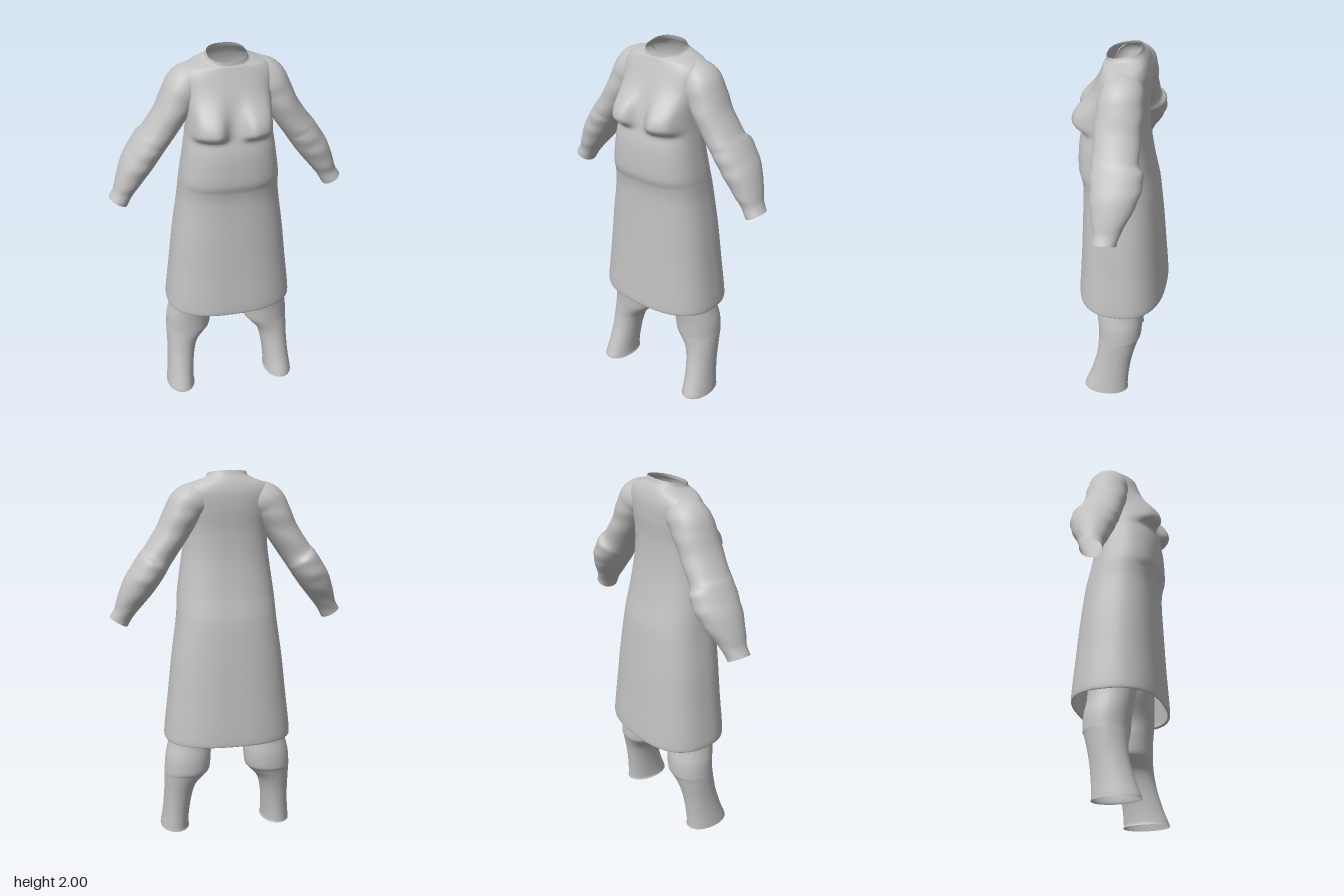
import * as THREE from 'three';

// Smoothly resample a short table of section rows
function resample(rows, steps) {
  const out = [], n = rows.length;
  for (let i = 0; i < n - 1; i++) {
    const p = [rows[Math.max(i - 1, 0)], rows[i], rows[i + 1], rows[Math.min(i + 2, n - 1)]];
    for (let k = 0; k < steps; k++) {
      const t = k / steps;
      out.push(p[1].map((b, c) => {
        const a = p[0][c], d = p[2][c], e = p[3][c];
        return b + 0.5 * t * (d - a + t * (2 * a - 5 * b + 4 * d - e + t * (3 * (b - d) + e - a)));
      }));
    }
  }
  out.push(rows[n - 1]);
  return out;
}

// Open tube of closed rings, rows running upward; point(i, cos, sin) gives a vertex
function loft(count, segs, power, flip, point) {
  const pos = [], idx = [];
  const bend = v => Math.sign(v) * Math.abs(v) ** (2 / power);
  for (let i = 0; i < count; i++) {
    for (let j = 0; j < segs; j++) {
      const a = (j / segs) * Math.PI * 2;
      pos.push(...point(i, bend(Math.cos(a)), bend(Math.sin(a))));
    }
  }
  for (let i = 0; i < count - 1; i++) {
    for (let j = 0; j < segs; j++) {
      const a = i * segs + j, b = i * segs + (j + 1) % segs, c = a + segs, d = b + segs;
      if (flip) idx.push(a, b, c, b, d, c);
      else idx.push(a, c, b, b, c, d);
    }
  }
  const g = new THREE.BufferGeometry();
  g.setAttribute('position', new THREE.Float32BufferAttribute(pos, 3));
  g.setIndex(idx);
  g.computeVertexNormals();
  return g;
}

// Bust relief: rounded above, tighter fold beneath
function bust(x, y) {
  const dx = (Math.abs(x) - 0.135) / 0.085;
  const dy = (y - 1.655) / (y > 1.655 ? 0.1 : 0.058);
  return 0.07 * Math.exp(-(dx ** 4) * 0.8 - (dy > 0 ? dy * dy : dy ** 4));
}

// y, half width, front z, back z, neckline slant
const DRESS = [
  [0.56, 0.333, 0.222, -0.235, 0], [0.575, 0.347, 0.235, -0.247, 0], [0.8, 0.322, 0.222, -0.23, 0],
  [1.0, 0.3, 0.213, -0.213, 0], [1.2, 0.272, 0.206, -0.192, 0], [1.29, 0.264, 0.212, -0.175, 0],
  [1.36, 0.258, 0.228, -0.16, 0], [1.5, 0.238, 0.222, -0.138, 0], [1.6, 0.224, 0.2, -0.13, 0],
  [1.7, 0.218, 0.175, -0.13, 0], [1.8, 0.225, 0.143, -0.138, 0], [1.88, 0.235, 0.112, -0.138, 0],
  [1.925, 0.205, 0.095, -0.128, 0.02], [1.947, 0.15, 0.09, -0.115, 0.1], [1.96, 0.112, 0.085, -0.102, 0.2],
  [1.98, 0.1, 0.083, -0.094, 0.22],
];

// x, y, z, in-plane radius, depth radius, from wrist to shoulder
const SLEEVE = [
  [0.582, 1.217, -0.005, 0.053, 0.06], [0.555, 1.265, -0.012, 0.053, 0.066],
  [0.525, 1.325, -0.02, 0.066, 0.088], [0.48, 1.405, -0.032, 0.081, 0.115],
  [0.44, 1.465, -0.037, 0.084, 0.127], [0.4, 1.525, -0.036, 0.084, 0.13],
  [0.37, 1.565, -0.024, 0.081, 0.116], [0.3, 1.67, -0.02, 0.083, 0.116],
  [0.25, 1.76, -0.022, 0.092, 0.115], [0.205, 1.825, -0.025, 0.1, 0.11],
  [0.14, 1.855, -0.028, 0.09, 0.095],
];

// y, inner x, outer x, front z, back z
const LEG = [
  [0, 0.213, 0.372, 0.175, -0.075], [0.02, 0.217, 0.37, 0.17, -0.073], [0.1, 0.213, 0.361, 0.14, -0.077],
  [0.2, 0.2, 0.355, 0.112, -0.09], [0.28, 0.175, 0.354, 0.1, -0.108], [0.34, 0.125, 0.354, 0.099, -0.127],
  [0.37, 0.104, 0.353, 0.1, -0.138], [0.45, 0.095, 0.346, 0.105, -0.138], [0.55, 0.088, 0.323, 0.118, -0.125],
  [0.7, 0.02, 0.305, 0.13, -0.14], [0.9, 0.0, 0.28, 0.14, -0.15],
];

export function createModel() {
  const model = new THREE.Group();
  const cloth = new THREE.MeshStandardMaterial({ color: 0xc2c2c2, side: THREE.DoubleSide });
  cloth.name = 'greyCloth';
  const add = (name, geometry) => {
    const mesh = new THREE.Mesh(geometry, cloth);
    mesh.name = name;
    model.add(mesh);
  };

  // Dress with open hem and neck
  const dress = resample(DRESS, 8);
  add('dress', loft(dress.length, 96, 2.5, false, (i, c, s) => {
    const [y, w, front, back, slant] = dress[i];
    const x = w * c, mid = (front + back) / 2;
    let z = mid + s * (front - back) / 2;
    if (s > 0) z += bust(x, y) * Math.min(1, s * 1.5);
    return [x, y - slant * (z - mid), z];
  }));

  for (const side of [1, -1]) {
    const label = side > 0 ? 'left' : 'right';

    // Sleeve: rings square to the arm line, with soft cloth wrinkles
    const arm = resample(SLEEVE, 6);
    add(label + 'Sleeve', loft(arm.length, 48, 2.1, side < 0, (i, c, s) => {
      const [x, y, z, r, depth] = arm[i];
      const p = arm[Math.max(i - 1, 0)], q = arm[Math.min(i + 1, arm.length - 1)];
      const len = Math.hypot(q[0] - p[0], q[1] - p[1]);
      const ux = (q[1] - p[1]) / len, uy = (p[0] - q[0]) / len;
      const fold = 1 + 0.018 * Math.sin(i * 0.75 + 2 * c) * s;
      return [side * (x + ux * r * c), y + uy * r * c, z + depth * s * fold];
    }));

    // Trouser leg, open at the ankle and reaching up inside the skirt
    const leg = resample(LEG, 6);
    add(label + 'TrouserLeg', loft(leg.length, 48, 2.1, side < 0, (i, c, s) => {
      const [y, inner, outer, front, back] = leg[i];
      return [side * ((inner + outer) / 2 + c * (outer - inner) / 2), y, (front + back) / 2 + s * (front - back) / 2];
    }));
  }
  return model;
}
